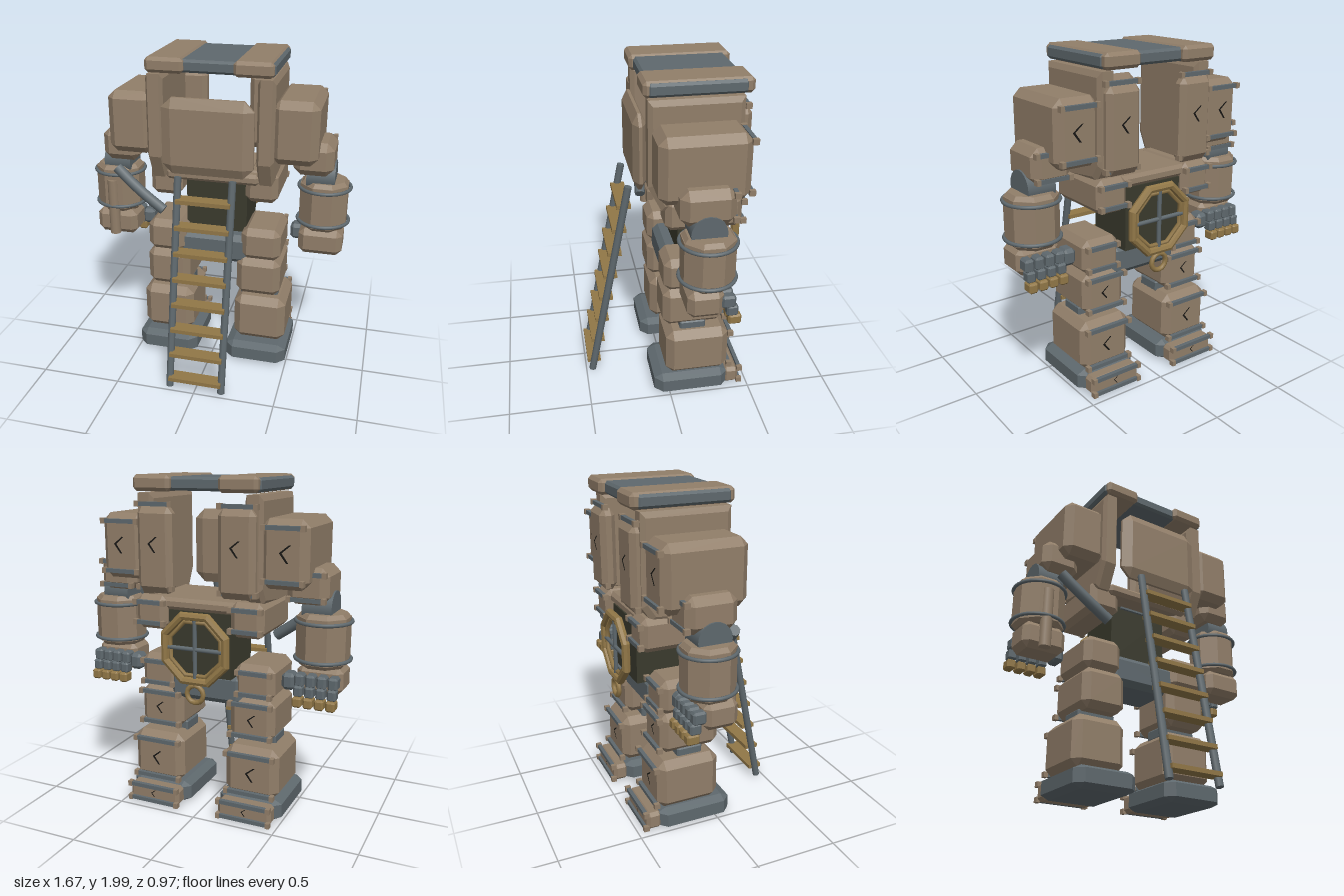
import * as THREE from 'three';
import { ConvexGeometry } from 'three/addons/geometries/ConvexGeometry.js';

const mat = (name, color, extra = {}) => {
  const m = new THREE.MeshStandardMaterial({ color, ...extra });
  m.name = name;
  return m;
};

export function createModel() {
  const root = new THREE.Group();
  root.name = 'walkerSuit';
  const tan = mat('tanArmour', 0x917e69);
  const slate = mat('slateMetal', 0x5e686d);
  const wood = mat('goldenWood', 0x917747);
  const dark = mat('darkInterior', 0x3a3a2d);
  const ink = mat('blackScratch', 0x171614, { side: THREE.DoubleSide });

  const add = (name, geo, material, x = 0, y = 0, z = 0) => {
    const m = new THREE.Mesh(geo, material);
    m.name = name;
    m.position.set(x, y, z);
    root.add(m);
    return m;
  };

  // Box with all edges and corners chamfered; ranges are [min, max]
  const block = (name, material, [x0, x1], [y0, y1], [z0, z1], c = 0.04) => {
    const [cx, cy, cz] = Array.isArray(c) ? c : [c, c, c];
    const hx = Math.abs(x1 - x0) / 2, hy = (y1 - y0) / 2, hz = (z1 - z0) / 2;
    const pts = [];
    for (const a of [-1, 1]) for (const b of [-1, 1]) for (const d of [-1, 1]) {
      pts.push(new THREE.Vector3(a * hx, b * (hy - cy), d * (hz - cz)));
      pts.push(new THREE.Vector3(a * (hx - cx), b * hy, d * (hz - cz)));
      pts.push(new THREE.Vector3(a * (hx - cx), b * (hy - cy), d * hz));
    }
    return add(name, new ConvexGeometry(pts), material, (x0 + x1) / 2, (y0 + y1) / 2, (z0 + z1) / 2);
  };

  const box = (name, material, w, h, d, x, y, z) =>
    add(name, new THREE.BoxGeometry(w, h, d), material, x, y, z);

  // Straight bar between two points
  const bar = (name, material, a, b, r, sides = 8) => {
    const p = new THREE.Vector3(...a), q = new THREE.Vector3(...b);
    const m = add(name, new THREE.CylinderGeometry(r, r, p.distanceTo(q), sides), material);
    m.position.copy(p).add(q).multiplyScalar(0.5);
    m.quaternion.setFromUnitVectors(new THREE.Vector3(0, 1, 0), q.sub(p).normalize());
    return m;
  };

  // Two horizontal rails with end caps across the back of a block
  const rails = (name, [x0, x1], ys, z) => {
    const w = Math.abs(x1 - x0) - 0.02, x = (x0 + x1) / 2;
    for (const y of ys) {
      box(name + 'Rail', slate, w, 0.024, 0.024, x, y, z);
      for (const e of [-1, 1]) box(name + 'RailCap', tan, 0.025, 0.032, 0.034, x + e * w / 2, y, z);
    }
  };

  // Thin angled scratch on a back face
  const chevronShape = new THREE.Shape([[-0.026, 0.035], [-0.016, 0.035], [0.026, 0.002],
    [-0.006, -0.04], [-0.016, -0.04], [0.014, 0.002]].map(p => new THREE.Vector2(...p)));
  const scratch = (x, y, z, k = 1) => {
    const m = add('backScratch', new THREE.ShapeGeometry(chevronShape), ink, x, y, z - 0.003);
    m.scale.set(k, k, 1);
  };

  // Roof
  block('roofSlab', slate, [-0.382, 0.382], [1.915, 1.99], [-0.43, 0.115], 0.015);

  for (const s of [-1, 1]) {
    const X = (a, b) => [s * a, s * b];
    block('roofCap', tan, X(0.145, 0.375), [1.91, 2.0], [-0.465, 0.14], 0.02);

    // Cockpit side wall, lofted from its side profile
    const profile = [[0.115, 1.9], [0.115, 1.4], [0.04, 1.25], [-0.36, 1.3], [-0.415, 1.38], [-0.415, 1.9]];
    const pts = [];
    for (const [z, y] of profile) {
      for (const e of [-1, 1]) {
        pts.push(new THREE.Vector3(e * 0.035, y - 1.58, z));
        pts.push(new THREE.Vector3(e * 0.052, (y - 1.58) * 0.9, (z + 0.15) * 0.9 - 0.15));
      }
    }
    add('cockpitWall', new ConvexGeometry(pts), tan, s * 0.332, 1.58, 0);

    // Rear upright panel
    block('rearPanel', tan, X(0.14, 0.36), [1.34, 1.83], [-0.465, -0.37], [0.03, 0.04, 0.03]);
    rails('rearPanel', X(0.14, 0.37), [1.84, 1.37], -0.435);
    scratch(s * 0.25, 1.62, -0.465, 1.2);

    // Shoulder
    block('shoulder', tan, X(0.36, 0.635), [1.4, 1.78], [-0.4, 0.1], 0.045);
    rails('shoulder', X(0.38, 0.62), [1.735, 1.445], -0.405);
    scratch(s * 0.51, 1.6, -0.4, 1.3);

    // Lower body side
    block('lowerBody', tan, X(0.2, 0.4), [1.12, 1.32], [-0.43, 0.02], 0.035);
    rails('lowerBody', X(0.2, 0.4), [1.28, 1.16], -0.435);

    // Arm
    block('upperArm', tan, X(0.48, 0.72), [1.31, 1.515], [-0.305, 0], 0.045);
    rails('upperArm', X(0.49, 0.71), [1.48, 1.34], -0.3);
    const elbow = add('elbow', new THREE.CylinderGeometry(0.1, 0.1, 0.17, 20), slate, s * 0.645, 1.28, -0.15);
    elbow.rotation.z = Math.PI / 2;
    const fore = add('forearm', new THREE.CylinderGeometry(0.155, 0.155, 0.26, 8).toNonIndexed(), tan, s * 0.665, 1.105, -0.16);
    fore.geometry.computeVertexNormals();
    fore.rotation.y = Math.PI / 8;
    for (const [y0, dir] of [[1.243, 1], [0.967, -1]]) {
      const g = new THREE.CylinderGeometry(dir > 0 ? 0.13 : 0.155, dir > 0 ? 0.155 : 0.13, 0.03, 8).toNonIndexed();
      g.computeVertexNormals();
      add('forearmRim', g, tan, s * 0.665, y0 + dir * 0.001, -0.16).rotation.y = Math.PI / 8;
    }
    for (const y of [1.21, 0.993]) {
      const ring = add('forearmBand', new THREE.TorusGeometry(0.158, 0.011, 8, 32), slate, s * 0.665, y, -0.16);
      ring.rotation.x = Math.PI / 2;
    }

    // Hand, fingers and thumb
    block('palm', tan, X(0.53, 0.8), [0.79, 0.955], [-0.235, -0.03], 0.035);
    for (let i = 0; i < 4; i++) {
      const x = s * (0.567 + i * 0.065);
      block('fingerBase', slate, [x - 0.028, x + 0.028], [0.84, 0.915], [-0.3, -0.22], 0.012);
      block('fingerMiddle', slate, [x - 0.026, x + 0.026], [0.785, 0.85], [-0.315, -0.25], 0.01);
      block('fingerTip', wood, [x - 0.027, x + 0.027], [0.73, 0.79], [-0.335, -0.26], 0.01);
    }
    block('thumb', slate, X(0.46, 0.54), [0.81, 0.91], [-0.29, -0.19], 0.02);

    // Leg
    block('hip', tan, X(0.18, 0.43), [0.73, 0.94], [-0.33, 0.03], 0.04);
    rails('hip', X(0.2, 0.42), [0.895, 0.765], -0.335);
    block('thigh', tan, X(0.155, 0.435), [0.485, 0.735], [-0.335, 0.035], 0.04);
    rails('thigh', X(0.16, 0.43), [0.705, 0.515], -0.345);
    scratch(s * 0.3, 0.61, -0.335);
    block('knee', slate, X(0.17, 0.415), [0.43, 0.5], [-0.23, -0.07], 0.01);
    block('shin', tan, X(0.14, 0.475), [0.14, 0.45], [-0.37, 0.02], 0.045);
    rails('shin', X(0.15, 0.46), [0.405, 0.17], -0.38);
    scratch(s * 0.31, 0.29, -0.37, 1.2);
    block('foot', slate, X(0.1, 0.495), [0.01, 0.14], [-0.375, 0.095], [0.05, 0.025, 0.05]);
    block('heel', tan, X(0.13, 0.465), [0.02, 0.13], [-0.445, -0.35], 0.02);
    rails('heel', X(0.13, 0.465), [0.125, 0.035], -0.45);
    scratch(s * 0.3, 0.08, -0.445, 0.6);

    // Ladder side
    bar('ladderRail', slate, [s * 0.165, 1.32, 0.2], [s * 0.165, 0.015, 0.46], 0.023);
  }

  // Ladder rungs
  for (let i = 0; i < 8; i++) {
    const y = 0.08 + i * 0.158;
    box('ladderRung', wood, 0.33, 0.025, 0.085, 0, y, 0.2 + (1.32 - y) * 0.199);
  }

  // Chest plate and cockpit floor
  block('chestPlate', tan, [-0.275, 0.275], [1.32, 1.78], [0.1, 0.178], [0.06, 0.06, 0.03]);
  block('cockpitFloor', tan, [-0.29, 0.29], [1.24, 1.31], [-0.4, 0.05], 0.02);
  box('controlBox', slate, 0.1, 0.06, 0.05, 0, 1.42, 0.08);

  // Belly compartment and pelvis
  box('bellyCompartment', dark, 0.39, 0.38, 0.3, 0, 1.05, -0.24);
  box('bellyTrim', slate, 0.27, 0.015, 0.02, 0, 1.235, -0.085);
  block('pelvis', slate, [-0.235, 0.235], [0.68, 0.87], [-0.33, 0], 0.035);

  // Octagonal rear hatch ring with spokes and pull ring
  const hatchY = 1.035, hatchZ = -0.452;
  const hatch = add('hatchRing', new THREE.TorusGeometry(0.205, 0.026, 8, 8), wood, 0, hatchY, hatchZ);
  hatch.rotation.z = Math.PI / 8;
  hatch.geometry = hatch.geometry.toNonIndexed();
  hatch.geometry.computeVertexNormals();
  const inner = add('hatchInnerRing', new THREE.TorusGeometry(0.17, 0.014, 6, 8), wood, 0, hatchY, hatchZ + 0.005);
  inner.rotation.z = Math.PI / 8;
  bar('hatchSpoke', slate, [-0.18, hatchY, hatchZ], [0.18, hatchY, hatchZ], 0.013);
  bar('hatchSpoke', slate, [0, hatchY - 0.18, hatchZ], [0, hatchY + 0.18, hatchZ], 0.013);
  add('pullRing', new THREE.TorusGeometry(0.052, 0.015, 8, 12), wood, 0, 0.77, -0.455);

  // Right arm hose and its mount
  bar('hoseMount', tan, [-0.672, 0.8, -0.03], [-0.672, 1.17, -0.03], 0.036, 12);
  const hosePath = new THREE.CatmullRomCurve3([[-0.615, 1.275, 0.02], [-0.53, 1.2, 0.035],
    [-0.42, 1.115, 0.05], [-0.305, 1.035, 0.06]].map(p => new THREE.Vector3(...p)));
  add('hose', new THREE.TubeGeometry(hosePath, 10, 0.034, 8), slate);
  [0, 1].forEach(t => {
    const cap = add('hoseEnd', new THREE.CircleGeometry(0.034, 8), slate);
    const p = hosePath.getPoint(t), d = hosePath.getTangent(t).multiplyScalar(t ? 1 : -1);
    cap.position.copy(p);
    cap.quaternion.setFromUnitVectors(new THREE.Vector3(0, 0, 1), d);
  });

  return root;
}
